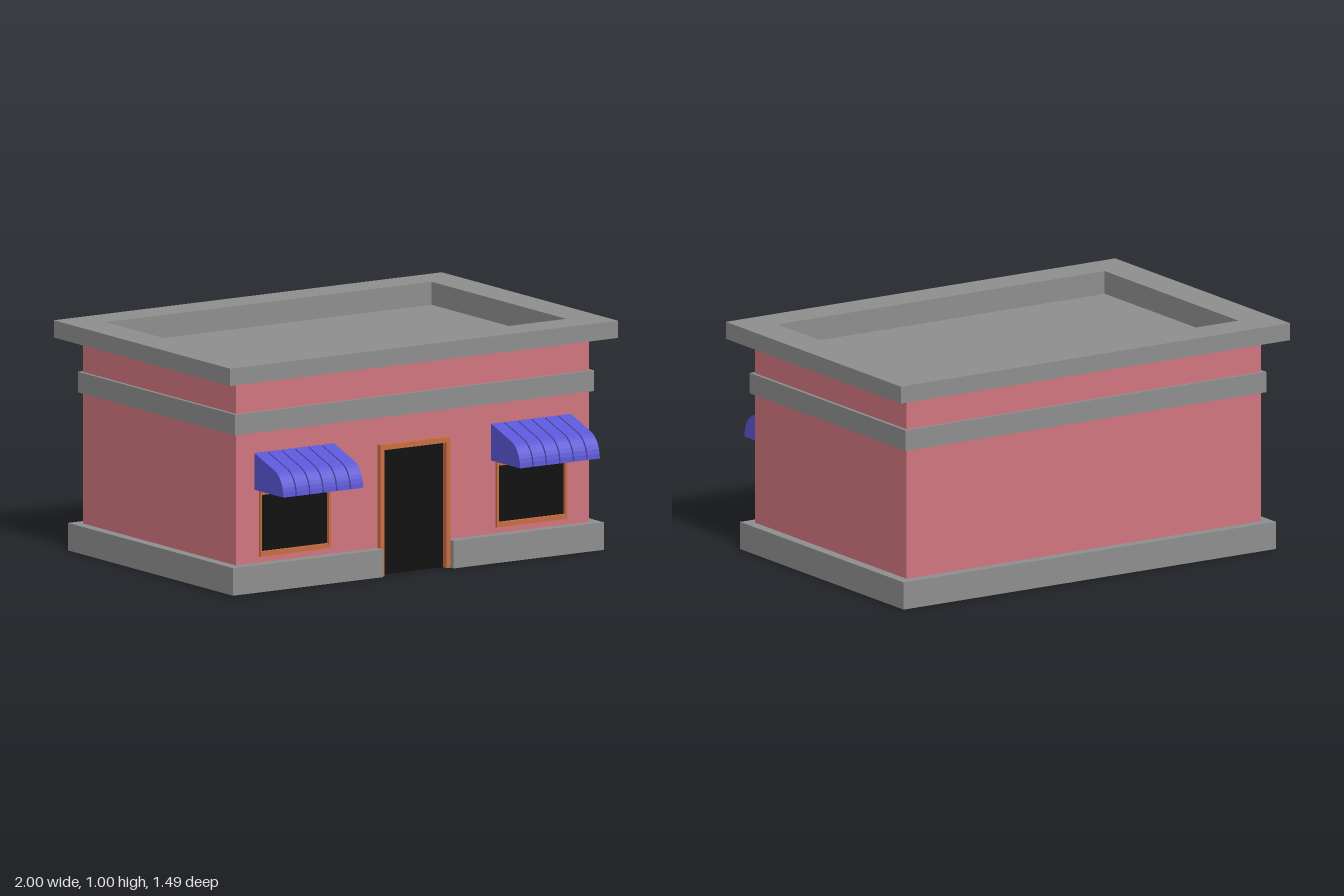
import * as THREE from 'three';

const mat = (color) => new THREE.MeshStandardMaterial({ color, side: THREE.DoubleSide, flatShading: true });
const X = 0.91, FRONT = 0.52, BACK = -0.655, DOOR = 0.18;

export function createModel() {
  const group = new THREE.Group();
  const grey = mat(0x8e8e8e), pink = mat(0xd0767f), orange = mat(0xc96d42), black = mat(0x101010), blue = mat(0x5b56d4);

  const add = (name, geometry, material, x = 0, y = 0, z = 0, parent = group) => {
    const mesh = new THREE.Mesh(geometry, material);
    mesh.name = name;
    mesh.position.set(x, y, z);
    parent.add(mesh);
    return mesh;
  };

  // Sweeps a profile of [offset, y] around the building, starting and ending at the door gap
  const skirt = (profile, gap = 0, from = 0, to = 5) => {
    const rows = profile.map(([o, y]) => [
      [gap, y, FRONT + o], [X + o, y, FRONT + o], [X + o, y, BACK - o],
      [-X - o, y, BACK - o], [-X - o, y, FRONT + o], [-gap, y, FRONT + o],
    ]);
    const pos = [];
    for (let j = 0; j < rows.length - 1; j++) {
      for (let i = from; i < to; i++) {
        const a = rows[j][i], b = rows[j][i + 1], c = rows[j + 1][i + 1], d = rows[j + 1][i];
        pos.push(...a, ...b, ...c, ...a, ...c, ...d);
      }
    }
    const g = new THREE.BufferGeometry();
    g.setAttribute('position', new THREE.Float32BufferAttribute(pos, 3));
    g.computeVertexNormals();
    return g;
  };

  const rect = (Type, x0, y0, x1, y1) => new Type()
    .moveTo(x0, y0).lineTo(x1, y0).lineTo(x1, y1).lineTo(x0, y1).closePath();

  // Hollow shell: plinth, belt course and cornice step out from the walls
  add('plinth', skirt([[0.046, 0], [0.046, 0.12], [0, 0.12]], DOOR), grey);
  add('lowerWalls', skirt([[0, 0.12], [0, 0.69]], 0, 1, 4), pink);
  add('beltCourse', skirt([[0, 0.69], [0.016, 0.69], [0.016, 0.78], [0, 0.78]]), grey);
  add('upperWalls', skirt([[0, 0.78], [0, 0.925]]), pink);
  add('cornice', skirt([[0, 0.925], [0.09, 0.925], [0.09, 1], [-0.07, 1], [-0.07, 0.9]]), grey);
  const roof = new THREE.PlaneGeometry(2 * X - 0.14, FRONT - BACK - 0.14).rotateX(-Math.PI / 2);
  add('roof', roof, grey, 0, 0.9, (FRONT + BACK) / 2);

  // Front wall with a door notch and two window openings
  const wall = new THREE.Shape();
  [[-X, 0.12], [-DOOR, 0.12], [-DOOR, 0.57], [DOOR, 0.57], [DOOR, 0.12], [X, 0.12], [X, 0.69], [-X, 0.69]]
    .forEach(([x, y], i) => (i ? wall.lineTo(x, y) : wall.moveTo(x, y)));
  for (const s of [-1, 1]) wall.holes.push(rect(THREE.Path, s * 0.61 - 0.182, 0.147, s * 0.61 + 0.182, 0.435));
  add('frontWall', new THREE.ShapeGeometry(wall), pink, 0, 0, FRONT);

  // Door, its frame and the plinth ends beside it
  const doorFrame = new THREE.Shape();
  [[-DOOR, 0], [-0.16, 0], [-0.16, 0.547], [0.16, 0.547], [0.16, 0], [DOOR, 0], [DOOR, 0.57], [-DOOR, 0.57]]
    .forEach(([x, y], i) => (i ? doorFrame.lineTo(x, y) : doorFrame.moveTo(x, y)));
  add('doorFrame', new THREE.ExtrudeGeometry(doorFrame, { depth: 0.034, bevelEnabled: false }), orange, 0, 0, 0.51);
  add('door', new THREE.PlaneGeometry(0.32, 0.547), black, 0, 0.2735, 0.514);
  for (const s of [-1, 1]) {
    const end = new THREE.PlaneGeometry(0.046, 0.12).rotateY(-s * Math.PI / 2);
    add('plinthEnd', end, grey, s * (DOOR + 0.001), 0.06, FRONT + 0.023);
  }

  // Awning slat outline, drawn outward from the wall
  const slat = new THREE.Shape();
  slat.moveTo(0, 0.44);
  slat.lineTo(0.224, 0.44);
  slat.bezierCurveTo(0.222, 0.5, 0.19, 0.537, 0.148, 0.55);
  slat.lineTo(0, 0.6);
  slat.closePath();
  const slatWidth = 0.063, pitch = 0.0696;
  const slatGeometry = new THREE.ExtrudeGeometry(slat, { depth: slatWidth, bevelEnabled: false, curveSegments: 8 })
    .rotateY(-Math.PI / 2).translate(slatWidth / 2, 0, 0);

  // Windows with striped awnings
  for (const s of [-1, 1]) {
    const bay = new THREE.Group();
    bay.name = s > 0 ? 'leftWindow' : 'rightWindow';
    bay.position.x = s * 0.61;
    group.add(bay);
    const frame = rect(THREE.Shape, -0.182, 0.147, 0.182, 0.435);
    frame.holes.push(rect(THREE.Path, -0.172, 0.168, 0.172, 0.415));
    add('windowFrame', new THREE.ExtrudeGeometry(frame, { depth: 0.018, bevelEnabled: false }), orange, 0, 0, 0.513, bay);
    add('windowPane', new THREE.PlaneGeometry(0.344, 0.247), black, 0, 0.2915, 0.516, bay);
    for (let i = 0; i < 6; i++) {
      // Mirror the local z of the rotated outline so that it points forward
      const x = (i - 2.5) * pitch;
      const mesh = add('awningSlat', slatGeometry, blue, x, 0, FRONT, bay);
      mesh.geometry.computeBoundingBox();
      if (mesh.geometry.boundingBox.max.z < 0.1) mesh.rotation.y = Math.PI;
    }
  }
  return group;
}
